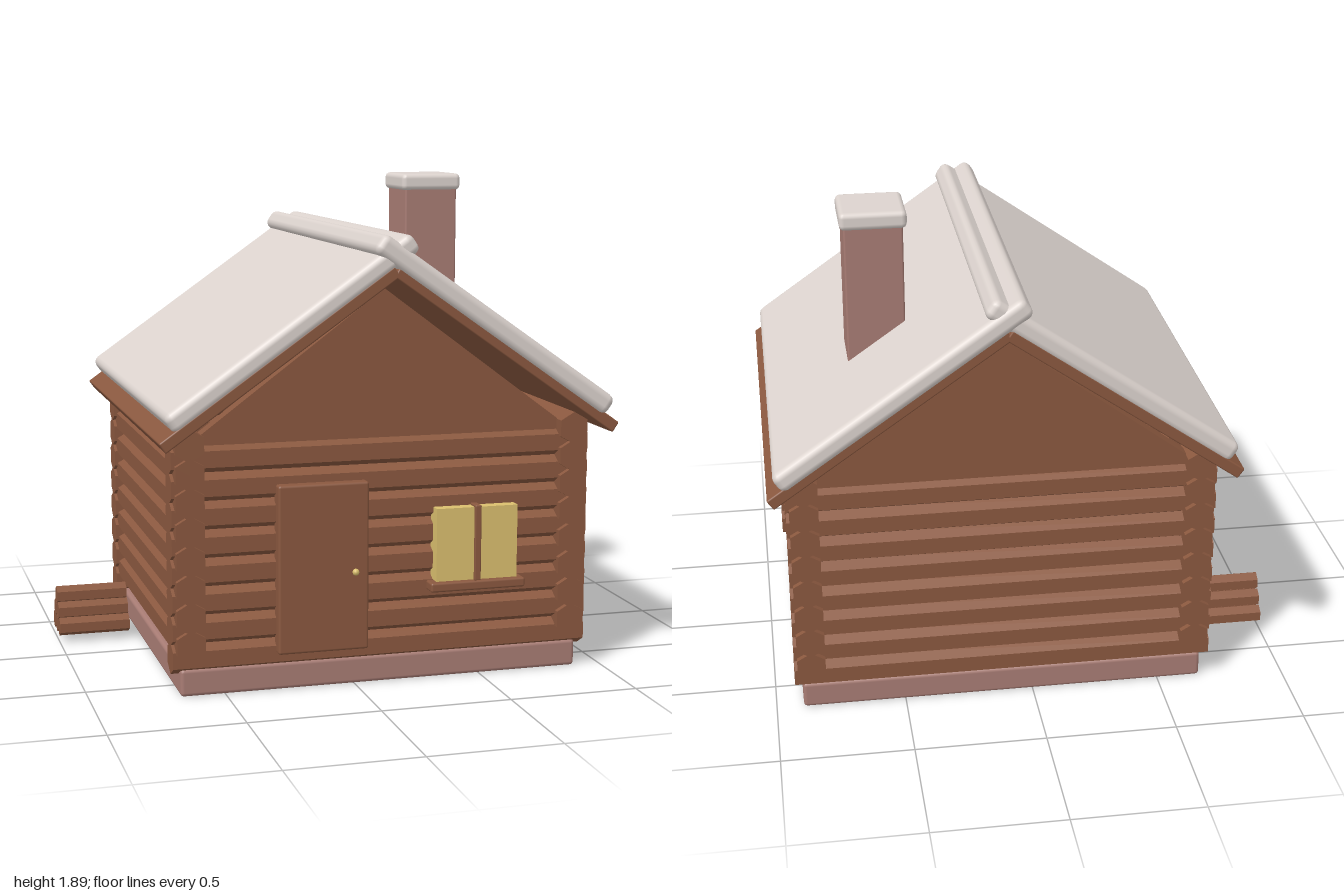
import * as THREE from 'three';
import { RoundedBoxGeometry } from 'three/addons/geometries/RoundedBoxGeometry.js';

const material = (name, color) => {
  const m = new THREE.MeshStandardMaterial({ color });
  m.name = name;
  return m;
};

// Six-sided log with an edge pointing up, lying along z (or x)
function logGeometry(radius, length, alongX) {
  let g = new THREE.CylinderGeometry(radius, radius, length, 6).rotateX(Math.PI / 2);
  if (alongX) g.rotateY(Math.PI / 2);
  g = g.toNonIndexed();
  g.computeVertexNormals();
  return g;
}

export function createModel() {
  const model = new THREE.Group();
  model.name = 'logCabin';
  const wood = material('wood', 0x8a583f);
  const stone = material('stone', 0xa87c74);
  const snow = material('snow', 0xdcd3ce);
  const glow = material('windowYellow', 0xdabf6e);

  const CX = 0.113; // house centre in x
  const add = (name, geometry, mat, x, y, z, parent = model) => {
    const mesh = new THREE.Mesh(geometry, mat);
    mesh.name = name;
    mesh.position.set(x, y, z);
    parent.add(mesh);
    return mesh;
  };
  const slab = (w, h, d, r) => new RoundedBoxGeometry(w, h, d, 2, r);
  const group = (name) => {
    const g = new THREE.Group();
    g.name = name;
    model.add(g);
    return g;
  };

  add('foundation', slab(1.565, 0.105, 1.32, 0.015), stone, CX, 0.0525, 0);

  // Interlocking log walls: side rows sit half a log higher
  const walls = group('logWalls');
  const R = 0.062, PITCH = 0.107;
  const crossLog = logGeometry(R, 1.625, true);
  const sideLog = logGeometry(R, 1.386, false);
  for (let i = 0; i < 8; i++) {
    for (const s of [-1, 1]) {
      add(s > 0 ? 'frontLog' : 'backLog', crossLog, wood, CX, 0.143 + i * PITCH, s * 0.617, walls);
      add(s > 0 ? 'leftLog' : 'rightLog', sideLog, wood, CX + s * 0.747, 0.199 + i * PITCH, 0, walls);
    }
  }

  // Gables
  const triangle = new THREE.Shape([
    new THREE.Vector2(-0.75, 0.94), new THREE.Vector2(0.75, 0.94), new THREE.Vector2(0, 1.497),
  ]);
  const gable = new THREE.ExtrudeGeometry(triangle, { depth: 0.06, bevelEnabled: false }).translate(0, 0, -0.03);
  add('frontGable', gable, wood, CX, 0, 0.617);
  add('backGable', gable, wood, CX, 0, -0.617);

  // Roof boards with a thick snow layer crossing at the ridge
  const pitch = THREE.MathUtils.degToRad(35);
  for (const s of [-1, 1]) {
    const side = s > 0 ? 'left' : 'right';
    const board = add(side + 'RoofBoard', slab(1.06, 0.045, 1.61, 0.006), wood, CX + s * 0.434, 1.267, 0);
    const cover = add(side + 'RoofSnow', slab(1.115, 0.08, s > 0 ? 1.64 : 1.62, 0.028), snow, CX + s * 0.386, 1.36, 0);
    board.rotation.z = cover.rotation.z = -s * pitch;
  }

  // Chimney
  add('chimney', slab(0.22, 0.82, 0.225, 0.008), stone, 0.546, 1.42, -0.208);
  add('chimneySnow', slab(0.25, 0.067, 0.25, 0.02), snow, 0.546, 1.852, -0.21);

  // Door
  add('door', slab(0.348, 0.64, 0.07, 0.01), wood, -0.134, 0.467, 0.675);
  add('doorKnob', new THREE.SphereGeometry(0.013, 12, 8), glow, -0.013, 0.447, 0.715);

  // Window
  const win = group('window');
  for (const s of [-1, 1]) add('windowPane', new THREE.BoxGeometry(0.15, 0.28, 0.07), glow, 0.465 + s * 0.086, 0.528, 0.68, win);
  add('windowMullion', slab(0.026, 0.292, 0.08, 0.005), wood, 0.466, 0.53, 0.685, win);
  add('windowSill', slab(0.376, 0.036, 0.09, 0.008), wood, 0.467, 0.368, 0.687, win);

  // Firewood stacked three, two, one
  const pile = group('firewoodPile');
  const firewood = logGeometry(0.037, 0.285, true);
  for (let row = 0; row < 3; row++) {
    for (let k = 0; k < 3 - row; k++) {
      add('firewoodLog', firewood, wood, -0.8575, 0.062 + row * 0.058, -0.264 + (k - (2 - row) / 2) * 0.067, pile);
    }
  }

  return model;
}
